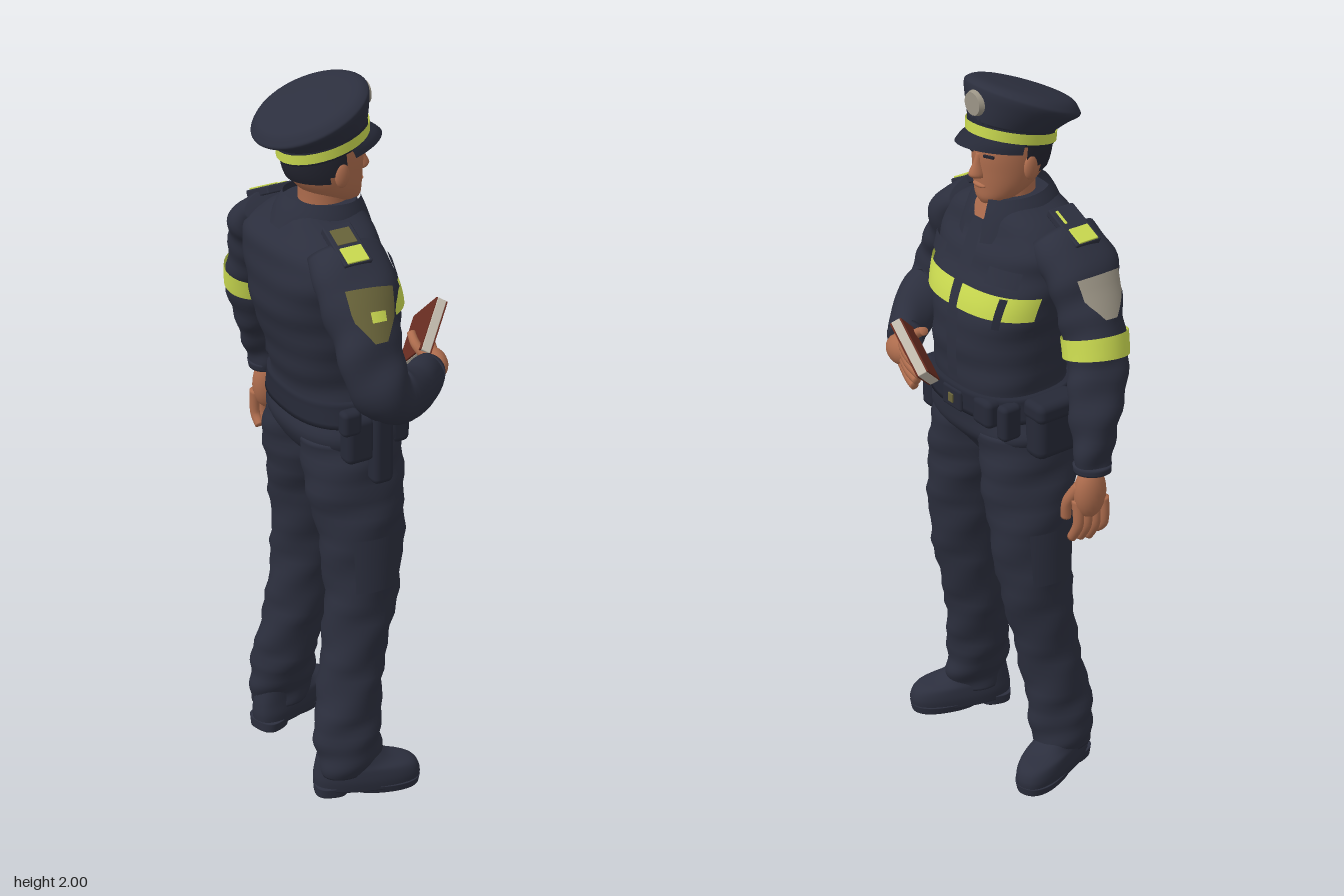
import * as THREE from 'three';
import { RoundedBoxGeometry } from 'three/addons/geometries/RoundedBoxGeometry.js';

const V = (x, y, z) => new THREE.Vector3(x, y, z);
const mat = (name, color, side = THREE.FrontSide) => {
  const m = new THREE.MeshStandardMaterial({ color, side });
  m.name = name;
  return m;
};

// Catmull-Rom interpolation of a whole table row
function rowAt(rows, t) {
  const n = rows.length - 1, i = Math.max(0, Math.min(n - 1, Math.floor(t))), f = t - i;
  const g = k => rows[Math.max(0, Math.min(n, k))];
  return rows[i].map((_, c) => {
    const a = g(i - 1)[c], b = g(i)[c], d = g(i + 1)[c], e = g(i + 2)[c];
    return b + 0.5 * f * (d - a + f * (2 * a - 5 * b + 4 * d - e + f * (3 * (b - d) + e - a)));
  });
}

// Skin through rows [x, y, z, radius1, radius2, tilt], listed bottom to top.
// Angle 0 faces +x and a quarter turn faces +z. An arc makes an open, surface-hugging patch.
function sweep(rows, { t0 = 0, t1 = rows.length - 1, grow = 0, arc = null, flat = false,
  power = 1, wrinkle = 0, shield = false, seg = 32 } = {}) {
  const steps = Math.max(2, Math.ceil((t1 - t0) * 6)), pos = [], idx = [];
  const per = arc ? seg + 1 : seg;
  const se = v => Math.sign(v) * Math.abs(v) ** power;
  for (let i = 0; i <= steps; i++) {
    const f = i / steps, t = t0 + (t1 - t0) * f;
    const [x, y, z, r1, r2, tilt = 0] = rowAt(rows, t);
    const c = V(x, y, z);
    let u = V(Math.cos(tilt), Math.sin(tilt), 0), v = V(0, 0, 1);
    if (!flat) {
      const p = rowAt(rows, Math.max(0, t - 0.15)), q = rowAt(rows, Math.min(rows.length - 1, t + 0.15));
      const dir = V(q[0] - p[0], q[1] - p[1], q[2] - p[2]).normalize();
      u = V(1, 0, 0).addScaledVector(dir, -dir.x).normalize();
      v = u.clone().cross(dir);
    }
    for (let j = 0; j < per; j++) {
      let a = (j / seg) * Math.PI * 2;
      if (arc) {
        const mid = (arc[0] + arc[1]) / 2, half = (arc[1] - arc[0]) / 2;
        a = mid + half * (2 * j / seg - 1) * (shield ? Math.min(1, 0.3 + 1.5 * f) : 1);
      }
      const w = grow + wrinkle * Math.sin(y * 55 + a * 2 + x * 20) * Math.sin(y * 21 - a + z * 9);
      const p = c.clone().addScaledVector(u, (r1 + w) * se(Math.cos(a))).addScaledVector(v, (r2 + w) * se(Math.sin(a)));
      pos.push(p.x, p.y, p.z);
    }
  }
  for (let i = 0; i < steps; i++) for (let j = 0; j < seg; j++) {
    const k = (j + 1) % per, a = i * per + j, b = i * per + k;
    idx.push(a, a + per, b, b, a + per, b + per);
  }
  if (!arc) for (const end of [0, steps]) {
    const r = rowAt(rows, end ? t1 : t0), c = pos.length / 3;
    pos.push(r[0], r[1], r[2]);
    for (let j = 0; j < seg; j++) {
      const a = end * per + j, b = end * per + (j + 1) % per;
      end ? idx.push(c, b, a) : idx.push(c, a, b);
    }
  }
  const g = new THREE.BufferGeometry();
  g.setAttribute('position', new THREE.Float32BufferAttribute(pos, 3));
  g.setIndex(idx);
  g.computeVertexNormals();
  return g;
}

export function createModel() {
  const root = new THREE.Group();
  root.name = 'uniformedOfficer';
  const navy = mat('navyCloth', 0x2c2f3e, THREE.DoubleSide), dark = mat('darkLeather', 0x262937, THREE.DoubleSide);
  const lime = mat('limeReflective', 0xcbdb50, THREE.DoubleSide), skin = mat('skin', 0xad6c4d);
  const hairM = mat('hair', 0x23242f), olive = mat('olivePatch', 0x69643a), beige = mat('paleBadge', 0x9c9586);
  const red = mat('redCover', 0x6a2d21), paper = mat('paper', 0xc6beb0);

  const add = (name, geo, m, parent = root) => {
    const o = new THREE.Mesh(geo, m);
    o.name = name;
    parent.add(o);
    return o;
  };
  const box = (name, m, p, s, parent = root, r = 0.2) => {
    const o = add(name, new RoundedBoxGeometry(...s, 2, Math.min(...s) * r), m, parent);
    o.position.set(...p);
    return o;
  };
  const ball = (name, m, p, s) => {
    const o = add(name, new THREE.SphereGeometry(1, 20, 14), m);
    o.position.set(...p);
    o.scale.set(...s);
    return o;
  };

  // Torso with shirt details hugging it
  const torso = [
    [-0.045, 0.96, 0, 0.07, 0.05], [-0.04, 1.05, 0, 0.142, 0.206], [-0.037, 1.13, 0, 0.147, 0.19],
    [-0.035, 1.2, 0, 0.15, 0.178], [-0.045, 1.3, 0, 0.165, 0.185], [-0.063, 1.42, 0, 0.175, 0.207],
    [-0.085, 1.52, 0, 0.16, 0.224], [-0.092, 1.58, 0, 0.145, 0.222], [-0.088, 1.63, 0, 0.122, 0.175],
    [-0.08, 1.67, 0, 0.1, 0.11], [-0.075, 1.69, 0, 0.085, 0.085]];
  const onTorso = o => sweep(torso, { flat: true, power: 0.8, ...o });
  add('torso', onTorso({ wrinkle: 0.004, seg: 48 }), navy);
  add('belt', onTorso({ t0: 1.85, t1: 2.85, grow: 0.01, seg: 48 }), dark);
  add('placket', onTorso({ t0: 3, t1: 8, grow: 0.006, arc: [-0.06, 0.06] }), navy);
  add('openNeck', onTorso({ t0: 8.1, t1: 10, grow: 0.004, arc: [-0.2, 0.2], shield: true }), skin);
  for (const s of [1, -1]) {
    const span = (a, b) => (s > 0 ? [a, b] : [-b, -a]);
    add('chestStripe', onTorso({ t0: 4.93, t1: 5.52, grow: 0.008, arc: span(0.04, 1.22) }), lime);
    add('chestPocketFlap', onTorso({ t0: 5.75, t1: 6.3, grow: 0.009, arc: span(0.3, 0.8) }), navy);
  }
  add('chestRadio', onTorso({ t0: 4.75, t1: 5.5, grow: 0.014, arc: [-0.72, -0.6] }), dark);
  // Collar, open at the throat
  add('collar', sweep([[-0.07, 1.61, 0, 0.14, 0.13, -0.2], [-0.07, 1.66, 0, 0.12, 0.115, -0.15],
    [-0.07, 1.7, 0, 0.1, 0.094, -0.1]], { flat: true, arc: [0.28, Math.PI * 2 - 0.28] }), navy);

  // Sleeves, listed from cuff to shoulder
  const rightArm = [
    [0.13, 1.235, 0.2, 0.042, 0.042], [0.08, 1.243, 0.25, 0.055, 0.054], [0, 1.255, 0.312, 0.067, 0.066],
    [-0.075, 1.285, 0.348, 0.076, 0.075], [-0.108, 1.36, 0.333, 0.082, 0.072], [-0.112, 1.46, 0.288, 0.091, 0.074],
    [-0.103, 1.55, 0.228, 0.108, 0.075], [-0.1, 1.61, 0.16, 0.1, 0.052]];
  const leftArm = [
    [-0.04, 1.04, -0.375, 0.045, 0.042], [-0.045, 1.1, -0.37, 0.054, 0.048], [-0.065, 1.2, -0.355, 0.07, 0.064],
    [-0.09, 1.3, -0.325, 0.08, 0.073], [-0.1, 1.4, -0.298, 0.085, 0.074], [-0.103, 1.48, -0.265, 0.093, 0.074],
    [-0.103, 1.55, -0.225, 0.108, 0.075], [-0.1, 1.61, -0.16, 0.1, 0.052]];
  const out = Math.PI / 2;
  for (const [name, rows] of [['right', rightArm], ['left', leftArm]]) {
    add(name + 'Sleeve', sweep(rows, { wrinkle: 0.006 }), navy);
    add(name + 'Cuff', sweep(rows, { t1: 0.45, grow: 0.004 }), navy);
  }
  add('leftSleeveStripe', sweep(leftArm, { t0: 3.3, t1: 3.85, grow: 0.007, arc: [0, Math.PI * 2] }), lime);
  add('leftSleevePatch', sweep(leftArm, { t0: 4.25, t1: 5.5, grow: 0.008, arc: [-out - 0.65, -out + 0.65], shield: true }), beige);
  add('rightSleevePatch', sweep(rightArm, { t0: 4.6, t1: 5.7, grow: 0.008, arc: [out - 0.62, out + 0.62], shield: true }), olive);
  add('rightPatchEmblem', sweep(rightArm, { t0: 5.0, t1: 5.22, grow: 0.011, arc: [out - 0.25, out + 0.15] }), lime);

  // Epaulettes
  for (const s of [1, -1]) {
    const e = new THREE.Group();
    e.name = 'epaulette';
    e.position.set(-0.11, 1.639, s * 0.2);
    e.rotation.x = s * 0.46;
    root.add(e);
    box('strap', navy, [0, 0, 0], [0.08, 0.022, 0.13], e);
    box('limeTab', lime, [0, 0.011, s * 0.037], [0.06, 0.008, 0.05], e);
    if (s > 0) box('oliveTab', olive, [0, 0.01, -0.024], [0.055, 0.006, 0.05], e);
    else box('limePiping', lime, [0.022, 0.01, 0.03], [0.008, 0.006, 0.045], e);
  }

  // Trousers and shoes
  for (const s of [1, -1]) {
    const leg = [
      [-0.103, 0.07, 0.2, 0.083, 0.062], [-0.1, 0.13, 0.197, 0.095, 0.07], [-0.098, 0.22, 0.183, 0.095, 0.077],
      [-0.07, 0.4, 0.16, 0.09, 0.082], [-0.037, 0.6, 0.15, 0.103, 0.09], [-0.032, 0.8, 0.133, 0.122, 0.103],
      [-0.042, 0.95, 0.11, 0.138, 0.112], [-0.04, 1.07, 0.1, 0.138, 0.106]].map(r => [r[0], r[1], s * r[2], r[3], r[4]]);
    add('trouserLeg', sweep(leg, { flat: true, wrinkle: 0.006, seg: 36 }), navy);
    add('cargoPocket', sweep(leg, { t0: 4.2, t1: 5, flat: true, grow: 0.007, arc: [s * out - 0.6, s * out + 0.6] }), navy);
    const shoe = new THREE.Group();
    shoe.name = 'shoe';
    shoe.position.set(-0.055, 0, s * 0.213);
    shoe.rotation.y = -s * 0.34;
    root.add(shoe);
    add('upper', sweep([[0, 0.018, 0, 0.146, 0.058], [0, 0.05, 0, 0.148, 0.062], [-0.008, 0.08, 0, 0.136, 0.059],
      [-0.04, 0.1, 0, 0.1, 0.054], [-0.062, 0.14, 0, 0.07, 0.05]], { flat: true, power: 0.8 }), navy, shoe);
    add('sole', sweep([[0.045, 0.006, 0, 0.1, 0.054], [0.045, 0.03, 0, 0.104, 0.06]], { flat: true, power: 0.85 }), navy, shoe);
    add('heel', sweep([[-0.1, 0, 0, 0.046, 0.048], [-0.1, 0.03, 0, 0.047, 0.052]], { flat: true, power: 0.7 }), navy, shoe);
  }

  // Belt equipment: position and size
  for (const [name, p, s] of [
    ['sidearmHolster', [-0.09, 1.105, 0.22], [0.085, 0.13, 0.055]], ['sidearmGrip', [-0.12, 1.165, 0.235], [0.055, 0.07, 0.04]],
    ['batonHolder', [-0.03, 1.075, 0.235], [0.06, 0.21, 0.05]], ['frontRightPouch', [0.055, 1.11, 0.165], [0.065, 0.15, 0.055]],
    ['leftPouch', [-0.035, 1.11, -0.217], [0.14, 0.165, 0.075]], ['leftPouchFlap', [-0.035, 1.165, -0.22], [0.146, 0.055, 0.082]],
    ['frontLeftPouch', [0.095, 1.145, -0.11], [0.05, 0.08, 0.075]], ['smallPouch', [0.07, 1.13, -0.17], [0.06, 0.1, 0.04]],
    ['buckle', [0.117, 1.148, 0], [0.022, 0.06, 0.08]]]) box(name, dark, p, s, root, 0.35);
  box('buckleStud', olive, [0.128, 1.148, 0], [0.008, 0.025, 0.02]);

  // Neck, head and face
  add('neck', sweep([[-0.075, 1.6, 0, 0.075, 0.068], [-0.065, 1.67, 0, 0.067, 0.062], [-0.065, 1.74, 0, 0.067, 0.06]], { flat: true }), skin);
  const head = [
    [-0.008, 1.672, 0, 0.033, 0.03], [-0.025, 1.69, 0, 0.06, 0.054], [-0.045, 1.72, 0, 0.082, 0.072],
    [-0.06, 1.76, 0, 0.099, 0.082], [-0.066, 1.81, 0, 0.106, 0.086], [-0.07, 1.87, 0, 0.1, 0.084]];
  add('head', sweep(head, { flat: true }), skin);
  add('hair', sweep(head, { t0: 2.9, t1: 5, flat: true, grow: 0.007, arc: [1.85, Math.PI * 2 - 1.85] }), hairM);
  add('nose', sweep([[0.038, 1.748, 0, 0.02, 0.018], [0.041, 1.758, 0, 0.025, 0.018], [0.036, 1.785, 0, 0.017, 0.011],
    [0.031, 1.81, 0, 0.012, 0.009]], { flat: true, seg: 16 }), skin);
  ball('lips', skin, [0.034, 1.724, 0], [0.01, 0.007, 0.024]);
  for (const s of [1, -1]) {
    ball('ear', skin, [-0.06, 1.775, s * 0.088], [0.02, 0.033, 0.011]);
    box('eyebrow', hairM, [0.032, 1.809, s * 0.036], [0.008, 0.007, 0.03]).rotation.y = -s * 0.35;
    add('sideburn', sweep(head, { t0: 3.3, t1: 5, flat: true, grow: 0.006, arc: s > 0 ? [1.4, 1.9] : [-1.9, -1.4] }), hairM);
  }

  // Peaked cap, tilted up at the front
  const band = [[-0.065, 1.83, 0, 0.12, 0.098, 0.23], [-0.068, 1.88, 0, 0.121, 0.1, 0.25]];
  add('capBand', sweep(band, { flat: true }), dark);
  add('capStripe', sweep(band, { t0: 0.2, t1: 0.66, flat: true, grow: 0.005, arc: [0, Math.PI * 2] }), lime);
  add('capCrown', sweep([
    [-0.068, 1.868, 0, 0.121, 0.101, 0.25], [-0.085, 1.9, 0, 0.14, 0.128, 0.32], [-0.1, 1.922, 0, 0.157, 0.145, 0.38],
    [-0.104, 1.936, 0, 0.153, 0.142, 0.38], [-0.108, 1.952, 0, 0.125, 0.115, 0.35], [-0.108, 1.957, 0, 0.05, 0.05, 0.35]],
  { flat: true, seg: 48 }), navy);
  add('capVisor', sweep([[-0.06, 1.812, 0, 0.157, 0.102, 0.2], [-0.062, 1.826, 0, 0.142, 0.1, 0.22],
    [-0.065, 1.84, 0, 0.118, 0.097, 0.23]], { flat: true, arc: [-1.35, 1.35] }), dark);
  const capBadge = add('capBadge', new THREE.CylinderGeometry(0.03, 0.035, 0.014, 20), beige);
  capBadge.position.set(0.05, 1.945, 0);
  capBadge.rotation.z = -Math.PI / 2;

  // Book held at an angle: page block between two covers
  const book = new THREE.Group();
  book.name = 'book';
  const bu = V(0, -0.105, -0.115).normalize(), bn = V(-0.0194, 0.0115, -0.0105).normalize();
  book.quaternion.setFromRotationMatrix(new THREE.Matrix4().makeBasis(bu, bn.clone().cross(bu), bn));
  book.position.set(0.187, 1.268, 0.075);
  root.add(book);
  box('pages', paper, [0, 0, 0], [0.159, 0.158, 0.026], book, 0.1);
  for (const s of [1, -1]) box('cover', red, [0, 0, s * 0.014], [0.157, 0.157, 0.005], book);

  // Hands; each digit is a tapered sweep through three points
  const digit = (name, pts, r) => add(name, sweep(pts.map((p, i) => [...p, r * (0.8 + i * 0.12), r * (0.8 + i * 0.12)]), { seg: 12 }), skin);
  ball('leftPalm', skin, [-0.035, 0.98, -0.374], [0.046, 0.075, 0.036]);
  ball('rightPalm', skin, [0.165, 1.232, 0.165], [0.036, 0.042, 0.052]);
  for (let i = 0; i < 4; i++) {
    const x = -0.068 + i * 0.021, z = -0.386 + i * 0.008, d = i === 0 ? 0.02 : 0, y = 1.262 - i * 0.02;
    digit('leftFinger', [[x, 0.838 + d, z + 0.022], [x, 0.89, z - 0.004], [x, 0.96, z]], 0.016);
    digit('rightFinger', [[0.21, y - 0.015, 0.012 + i * 0.012], [0.2, y - 0.008, 0.085], [0.168, y, 0.16]], 0.014);
  }
  digit('leftThumb', [[0.003, 0.895, -0.325], [0.004, 0.945, -0.333], [-0.01, 1.0, -0.365]], 0.017);
  digit('rightThumb', [[0.135, 1.3, 0.105], [0.13, 1.28, 0.14], [0.15, 1.245, 0.18]], 0.014);

  return root;
}
